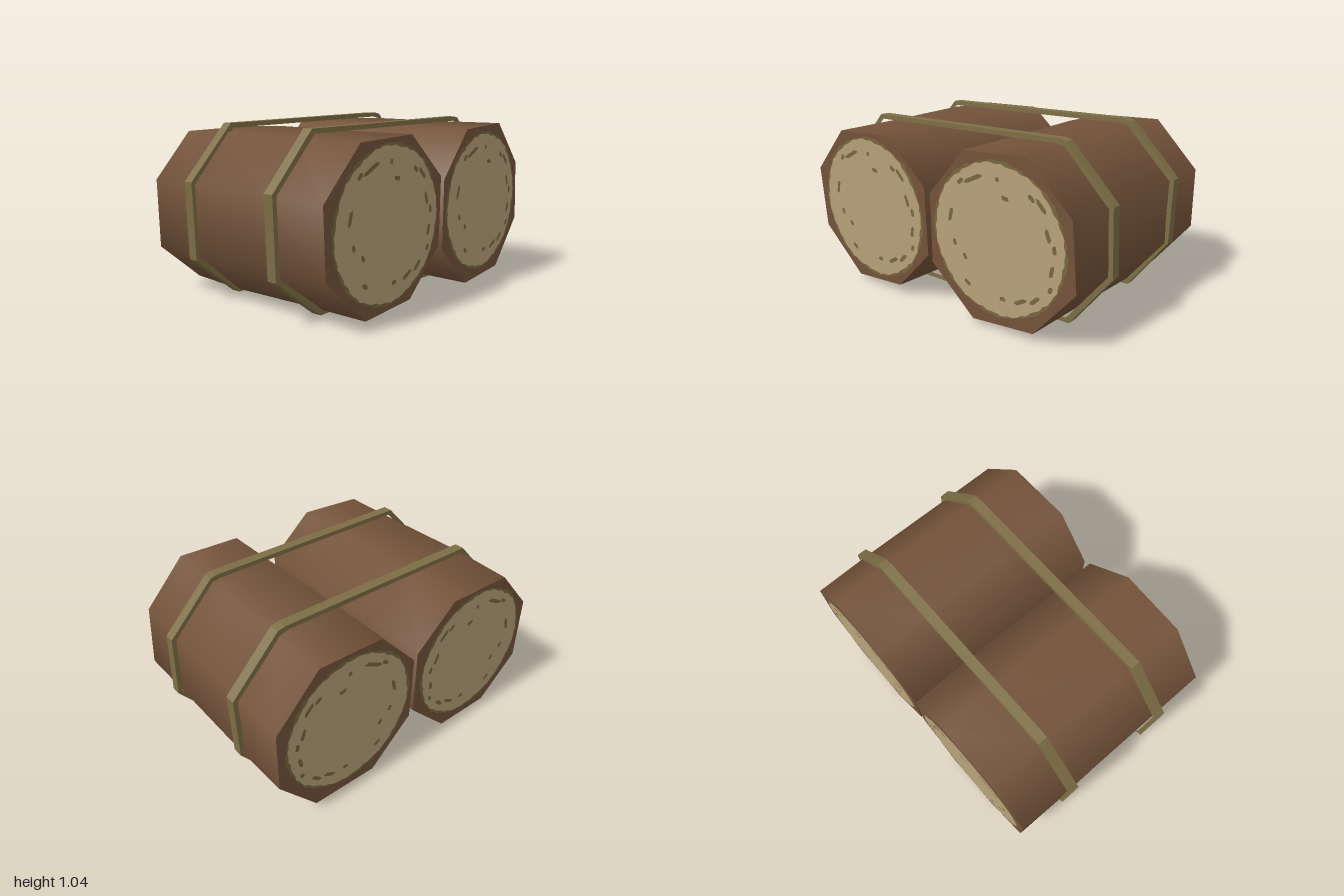
import * as THREE from 'three';

const mat = (name, color) => Object.assign(new THREE.MeshStandardMaterial({ color }), { name });

// Octagon outlines are [z, y] pairs: far end (-x) and near end (+x)
const LOGS = [
  {
    name: 'frontLog', centre: [0.475, 0.51], radius: 0.423, turn: 0,
    left: [[0.70, 0.955], [0.27, 0.965], [0.00, 0.73], [0.00, 0.31], [0.28, 0.03], [0.66, 0.03], [0.935, 0.27], [0.945, 0.68]],
    right: [[0.715, 0.955], [0.30, 0.975], [0.015, 0.725], [0.01, 0.32], [0.27, 0.06], [0.645, 0.03], [0.945, 0.30], [0.97, 0.68]],
    mid: 1.03, tilt: [0.025, -0.025]
  },
  {
    name: 'backLog', centre: [-0.485, 0.52], radius: 0.421, turn: -2,
    left: [[-0.28, 0.97], [-0.69, 0.985], [-0.965, 0.70], [-0.965, 0.33], [-0.73, 0.04], [-0.31, 0.03], [-0.03, 0.29], [-0.025, 0.70]],
    right: [[-0.27, 0.975], [-0.675, 0.995], [-0.94, 0.725], [-0.97, 0.345], [-0.715, 0.055], [-0.315, 0.025], [-0.025, 0.29], [-0.025, 0.70]],
    mid: 1.025, tilt: [0.012, 0.025]
  }
];

// Growth ring marks: [angle in degrees, radius, length]
const MARKS = [
  [117, 0.35, 0.14], [131, 0.37, 0.05], [78, 0.25, 0.05], [53, 0.35, 0.05], [43, 0.37, 0.09],
  [19, 0.335, 0.08], [7, 0.36, 0.05], [-12, 0.355, 0.07], [-27, 0.385, 0.04], [-46, 0.365, 0.08],
  [-61, 0.34, 0.09], [-81, 0.32, 0.04], [-123, 0.345, 0.05], [-146, 0.25, 0.04], [-165, 0.29, 0.04],
  [166, 0.32, 0.09], [90, 0.335, 0.025]
];

const shapeOf = pts => new THREE.Shape(pts.map(([z, y]) => new THREE.Vector2(-z, y)));

// Smooth eight-sided bark skin lofted through four rings
function barkGeometry(log, endX) {
  const pos = [], index = [];
  [[0, 1, -0.7], [0.27, log.mid, -0.33], [0.7, 1.005, 0.25], [1, 1, null]].forEach(([t, s, x], i) => {
    log.left.forEach(([z0, y0], j) => {
      const z = THREE.MathUtils.lerp(z0, log.right[j][0], t);
      const y = THREE.MathUtils.lerp(y0, log.right[j][1], t);
      pos.push(x ?? endX(y, z), log.centre[1] + (y - log.centre[1]) * s, log.centre[0] + (z - log.centre[0]) * (1 + (s - 1) * 0.3));
      if (i < 3) {
        const a = i * 8 + j, b = i * 8 + (j + 1) % 8;
        index.push(a, a + 8, b, b, a + 8, b + 8);
      }
    });
  });
  const g = new THREE.BufferGeometry();
  g.setAttribute('position', new THREE.Float32BufferAttribute(pos, 3));
  g.setIndex(index);
  g.computeVertexNormals();
  return g;
}

// Flat shapes laid onto one end of a log, raised slightly outward
function endGeometry(outlines, side, lift, endX) {
  const g = new THREE.ShapeGeometry(outlines.map(pts =>
    new THREE.Shape(pts.map(([z, y]) => new THREE.Vector2(-z * side, y)))));
  const p = g.attributes.position;
  for (let i = 0; i < p.count; i++) {
    const z = -p.getX(i) * side, y = p.getY(i);
    p.setXYZ(i, side > 0 ? endX(y, z) + lift : -0.7 - lift, y, z);
  }
  g.computeVertexNormals();
  return g;
}

// Disc with a ragged edge
function raggedDisc([cz, cy], r, seed) {
  return Array.from({ length: 80 }, (_, i) => {
    const a = i / 80 * Math.PI * 2;
    const k = r + 0.005 * Math.sin(i * 2.4 + seed) + 0.004 * Math.sin(a * 8 + seed);
    return [cz - Math.cos(a) * k, cy + Math.sin(a) * k];
  });
}

// Short curved dash following a growth ring
function ringMark([cz, cy], [deg, r, len], turn) {
  const at = (k, radius) => {
    const a = THREE.MathUtils.degToRad(deg + turn) + k * len / r;
    return [cz - Math.cos(a) * radius, cy + Math.sin(a) * radius];
  };
  return [at(-0.5, r), at(-0.3, r + 0.013), at(0.35, r + 0.011), at(0.5, r + 0.003), at(0.3, r - 0.012), at(-0.35, r - 0.01)];
}

export function createModel() {
  const group = new THREE.Group();
  const bark = mat('bark', 0x74533a);
  const wood = mat('cutWood', 0xb8a27a);
  const ring = mat('growthRing', 0x78693f);
  const rope = mat('strap', 0x7d6e45);
  const add = (parent, name, geometry, material) => {
    const mesh = new THREE.Mesh(geometry, material);
    mesh.name = name;
    parent.add(mesh);
    return mesh;
  };

  // Logs with cut ends
  for (const log of LOGS) {
    const part = new THREE.Group();
    part.name = log.name;
    group.add(part);
    const endX = (y, z) => 0.674 + log.tilt[0] * (y - log.centre[1]) + log.tilt[1] * (z - log.centre[0]);
    add(part, 'barkSkin', barkGeometry(log, endX), bark);
    for (const side of [1, -1]) {
      const end = side > 0 ? 'right' : 'left';
      const c = log.centre;
      add(part, end + 'BarkRim', endGeometry([side > 0 ? log.right : log.left], side, 0, endX), bark);
      add(part, end + 'OuterRing', endGeometry([raggedDisc(c, log.radius + 0.009, 2)], side, 0.002, endX), ring);
      add(part, end + 'CutFace', endGeometry([raggedDisc(c, log.radius - 0.004, 0)], side, 0.004, endX), wood);
      add(part, end + 'RingMarks', endGeometry(MARKS.map(m => ringMark(c, m, log.turn)), side, 0.006, endX), ring);
    }
  }

  // Two straps wrapped around both logs
  const straps = [
    ['leftStrap', -0.375, [[0.69, 1.015], [-0.65, 1.04], [-0.70, 1.03], [-1, 0.72], [-0.99, 0.33], [-0.74, 0], [0.66, 0], [0.965, 0.25], [0.98, 0.70]]],
    ['rightStrap', 0.295, [[0.715, 1.01], [-0.65, 1.03], [-0.69, 1.02], [-0.985, 0.72], [-1, 0.33], [-0.74, 0], [0.66, 0], [0.985, 0.25], [1, 0.70]]]
  ];
  for (const [name, x, outer] of straps) {
    const shape = shapeOf(outer);
    shape.holes.push(shapeOf(outer.map(([z, y]) => [z * 0.972, 0.52 + (y - 0.52) * 0.945])));
    const g = new THREE.ExtrudeGeometry(shape, { depth: 0.062, bevelEnabled: false });
    g.rotateY(Math.PI / 2);
    add(group, name, g, rope).position.x = x;
  }
  return group;
}
